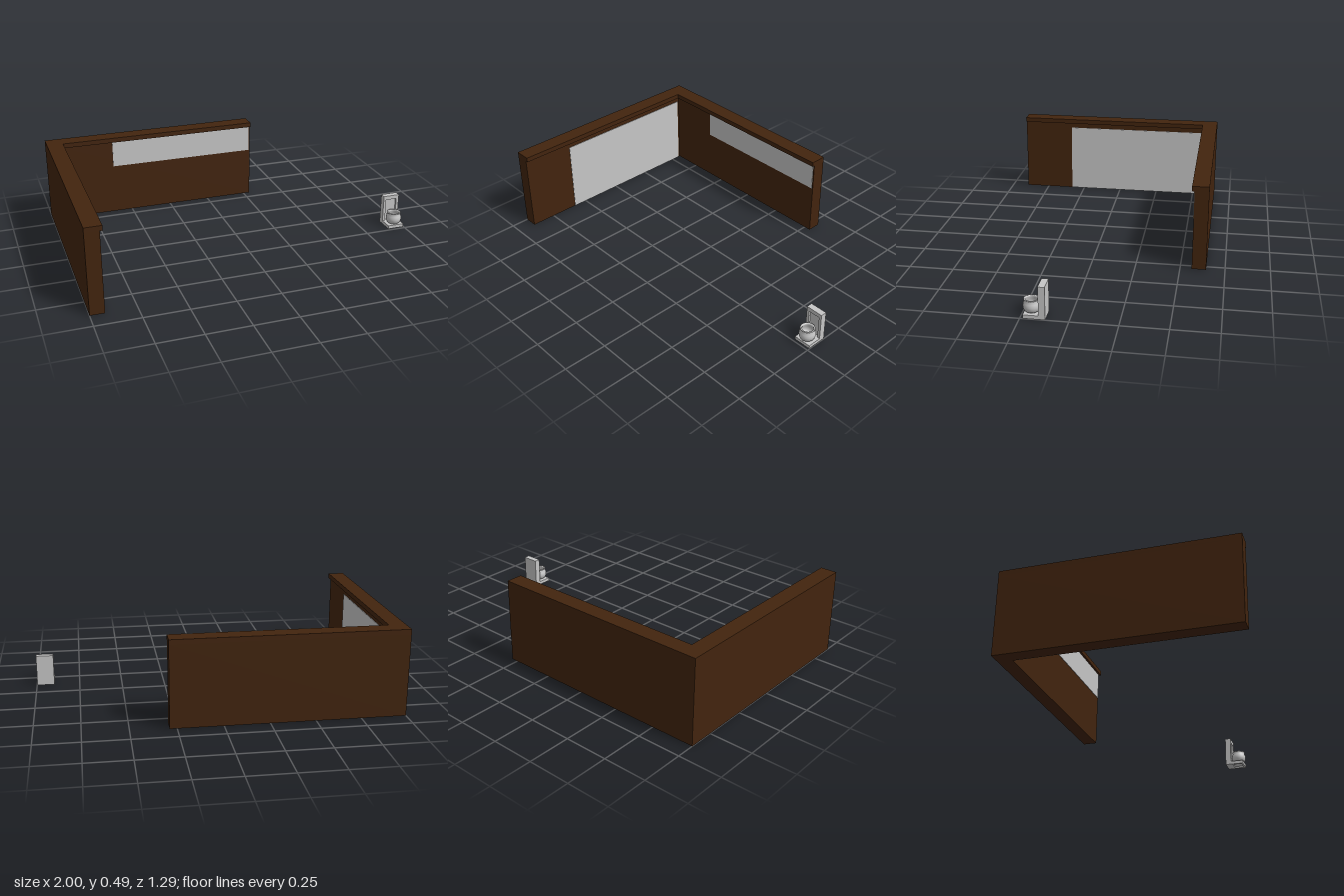
import * as THREE from 'three';

export function createModel() {
  const model = new THREE.Group();
  const wood = new THREE.MeshStandardMaterial({ color: 0x42240e });
  wood.name = 'dark brown';
  const stone = new THREE.MeshStandardMaterial({ color: 0xc6c6c6, side: THREE.DoubleSide });
  stone.name = 'light grey';

  const add = (parent, name, geometry, material) => {
    const mesh = new THREE.Mesh(geometry, material);
    mesh.name = name;
    parent.add(mesh);
    return mesh;
  };
  // Box given by its lower and upper corners
  const box = (parent, name, a, b, material) => {
    const mesh = add(parent, name, new THREE.BoxGeometry(b[0] - a[0], b[1] - a[1], b[2] - a[2]), material);
    mesh.position.set((a[0] + b[0]) / 2, (a[1] + b[1]) / 2, (a[2] + b[2]) / 2);
    return mesh;
  };
  // L-shaped plan of the given thickness, raised from y0 to y1
  const corner = (name, thickness, y0, y1) => {
    const xi = -1 + thickness, zi = -0.645 + thickness;
    const plan = [[-1, 0.645], [xi, 0.645], [xi, zi], [0.29, zi], [0.29, -0.645], [-1, -0.645]];
    const shape = new THREE.Shape(plan.map(([x, z]) => new THREE.Vector2(x, -z)));
    const geometry = new THREE.ExtrudeGeometry(shape, { depth: y1 - y0, bevelEnabled: false });
    geometry.rotateX(-Math.PI / 2).translate(0, y0, 0);
    add(model, name, geometry, wood);
  };
  // Rectangular frame in x and y, extruded along +z
  const frame = (outer, inner, depth) => {
    const points = ([x0, y0, x1, y1]) =>
      [[x0, y0], [x1, y0], [x1, y1], [x0, y1]].map(([x, y]) => new THREE.Vector2(x, y));
    const shape = new THREE.Shape(points(outer));
    shape.holes.push(new THREE.Path(points(inner).reverse()));
    return new THREE.ExtrudeGeometry(shape, { depth, bevelEnabled: false });
  };

  // Corner wall with an overhanging cap and two pale panels
  corner('cornerWall', 0.08, 0, 0.462);
  corner('wallCap', 0.095, 0.462, 0.49);
  box(model, 'sidePanel', [-0.92, 0.001, -0.553], [-0.917, 0.43, 0.333], stone);
  box(model, 'backPanel', [-0.605, 0.302, -0.565], [0.283, 0.462, -0.562], stone);

  // Small niche: slab with a recess, plinth hollow underneath
  const niche = new THREE.Group();
  niche.name = 'basinNiche';
  niche.position.x = 0.948;
  model.add(niche);
  box(niche, 'slabBack', [-0.05, 0, 0.12], [0.05, 0.18, 0.143], stone);
  add(niche, 'slabFrame', frame([-0.05, 0, 0.05, 0.18], [-0.034, 0.02, 0.034, 0.156], 0.012), stone)
    .position.z = 0.143;
  box(niche, 'plinthTop', [-0.05, 0.01, 0.155], [0.05, 0.02, 0.235], stone);
  const skirt = frame([-0.05, -0.235, 0.05, -0.155], [-0.036, -0.223, 0.036, -0.165], 0.01);
  add(niche, 'plinthSkirt', skirt.rotateX(-Math.PI / 2), stone);

  // Round open bowl with a flared lip
  const profile = [
    [0.001, 0.018], [0.028, 0.02], [0.038, 0.028], [0.044, 0.042], [0.0455, 0.054],
    [0.043, 0.07], [0.036, 0.082], [0.04, 0.087], [0.04, 0.092], [0.032, 0.091],
    [0.031, 0.083], [0.037, 0.068], [0.039, 0.052], [0.033, 0.034], [0.001, 0.027],
  ].map(([r, y]) => new THREE.Vector2(r, y));
  add(niche, 'bowl', new THREE.LatheGeometry(profile, 24), stone).position.z = 0.198;

  return model;
}
